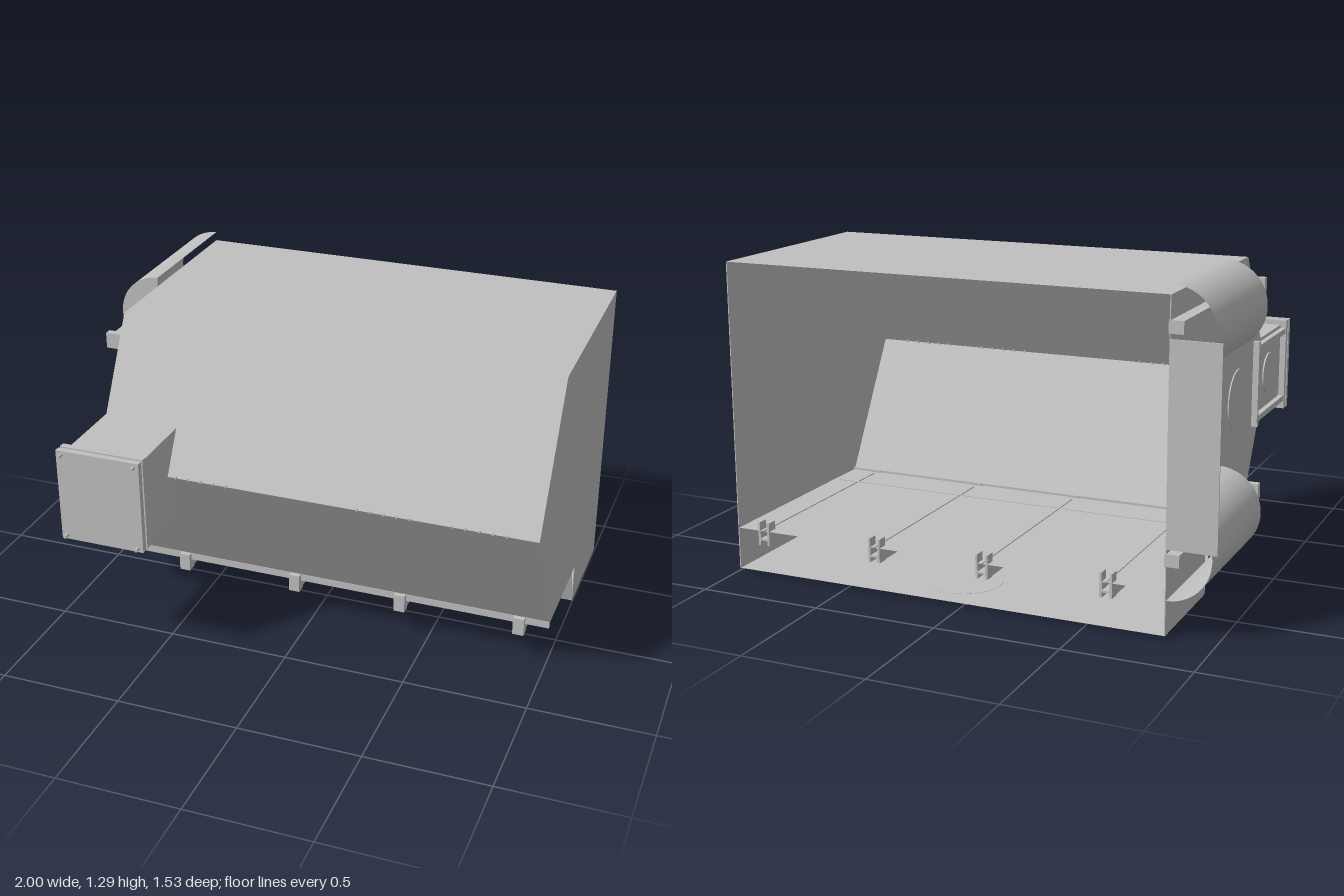
import * as THREE from 'three';

const X0 = -0.81, X1 = 1, MID = (X0 + X1) / 2, W = X1 - X0;
const BACK = -0.76, FLOOR = 0.19;

export function createModel() {
  const model = new THREE.Group();
  const metal = new THREE.MeshStandardMaterial({ color: 0xc0c0c0, side: THREE.DoubleSide });
  metal.name = 'sheetMetalGrey';

  const add = (name, geometry, x = 0, y = 0, z = 0) => {
    const mesh = new THREE.Mesh(geometry, metal);
    mesh.name = name;
    mesh.position.set(x, y, z);
    model.add(mesh);
    return mesh;
  };
  // box given by its limits on each axis
  const box = (name, x0, x1, y0, y1, z0, z1) =>
    add(name, new THREE.BoxGeometry(x1 - x0, y1 - y0, z1 - z0),
      (x0 + x1) / 2, (y0 + y1) / 2, (z0 + z1) / 2);
  // folded sheet lofted between two rows of points
  const loft = (name, rowA, rowB) => {
    const pos = [];
    for (let i = 0; i < rowA.length - 1; i++) {
      const a = rowA[i], b = rowA[i + 1], c = rowB[i + 1], d = rowB[i];
      pos.push(...a, ...b, ...c, ...a, ...c, ...d);
    }
    const g = new THREE.BufferGeometry();
    g.setAttribute('position', new THREE.Float32BufferAttribute(pos, 3));
    g.computeVertexNormals();
    return add(name, g);
  };
  const sheet = (name, profile, x0 = X0, x1 = X1) =>
    loft(name, profile.map(([z, y]) => [x1, y, z]), profile.map(([z, y]) => [x0, y, z]));
  // (z, y) outline extruded along x
  const prism = (name, profile, x0, x1) => {
    const shape = new THREE.Shape(profile.map(([z, y]) => new THREE.Vector2(-z, y)));
    const g = new THREE.ExtrudeGeometry(shape, { depth: x1 - x0, bevelEnabled: false });
    g.rotateY(Math.PI / 2);
    return add(name, g, x0);
  };

  // open-backed housing
  const hood = [[BACK, 1.265], [0.16, 1.265], [0.47, 0.73], [0.16, FLOOR]];
  sheet('hoodPanels', hood);
  const wall = [...hood, [-0.305, FLOOR], [-0.305, 0.02], [BACK, 0.02]];
  prism('leftWall', wall, X1 - 0.004, X1);
  prism('rightWall', wall, X0, X0 + 0.004);
  sheet('floor', [[BACK, FLOOR], [0.16, FLOOR]]);
  sheet('sump', [[-0.255, FLOOR], [-0.305, 0.02], [BACK, 0.02]]);
  box('frontLip', X0, X1, 0.17, 0.2, 0.15, 0.168);

  // hatch on the sloping sump front
  prism('sumpHatch', [[-0.232, 0.17], [-0.265, 0.01], [-0.305, 0.01], [-0.26, 0.17]], -0.07, 0.295);

  // channel beams under the floor, with end brackets
  for (const x of [-0.58, -0.08, 0.38, 0.88]) {
    for (const s of [-1, 1]) {
      box('beamSide', x + s * 0.018 - 0.003, x + s * 0.018 + 0.003, 0.13, FLOOR, BACK, 0.17);
      box('backBracket', x + s * 0.021 - 0.004, x + s * 0.021 + 0.004, 0.13, 0.225, BACK, BACK + 0.045);
    }
    box('beamWeb', x - 0.018, x + 0.018, 0.15, 0.158, BACK, 0.17);
    box('frontBracket', x - 0.023, x + 0.023, 0.125, 0.2, 0.145, 0.188);
    box('floorSeam', x - 0.004, x + 0.004, FLOOR, FLOOR + 0.004, BACK, 0.12);
  }
  box('crossSeam', X0 + 0.03, X1 - 0.03, FLOOR, FLOOR + 0.003, -0.02, -0.014);

  // covers and slots on the underside
  const disc = (name, r, x, y, z) => add(name, new THREE.CylinderGeometry(r, r, 0.004, 28), x, y, z);
  disc('sumpCover', 0.15, 0.1, 0.019, -0.53);
  for (const x of [-0.33, 0.15, 0.63]) disc('floorCover', 0.09, x, FLOOR - 0.003, -0.05);
  for (const x of [-0.5, -0.2, 0.45, 0.78])
    box('sumpSlot', x - 0.035, x + 0.035, 0.017, 0.02, -0.55, -0.52);

  // fasteners along the front fold
  for (const start of [-0.465, 0.29, 0.665])
    for (let i = 0; i < 5; i++) {
      const x = start + i * 0.053;
      box('foldRivet', x - 0.004, x + 0.004, 0.727, 0.737, 0.462, 0.474);
    }

  // inlet duct fitted to the folded front
  prism('inletDuct', [[0.69, 0.55], [0.69, 0.9], [0.372, 0.9], [0.47, 0.73], [0.366, 0.55]], X0, -0.5);
  for (const z of [0.68, 0.716]) box('inletFlange', -0.835, -0.485, 0.535, 0.92, z, z + 0.025);
  box('inletGasket', -0.82, -0.5, 0.55, 0.905, 0.7, 0.72);
  for (const x of [-0.812, -0.505])
    for (const y of [0.553, 0.903]) {
      const bolt = add('inletBolt', new THREE.CylinderGeometry(0.007, 0.007, 0.025, 10), x, y, 0.752);
      bolt.rotation.x = Math.PI / 2;
    }

  // access frame on the duct side
  for (const y of [0.58, 0.875]) box('accessRail', -0.832, X0, y - 0.012, y + 0.012, 0.27, 0.68);
  box('accessPost', -0.835, X0, 0.55, 0.905, 0.272, 0.292);
  const oval = add('accessCover', new THREE.CylinderGeometry(0.085, 0.085, 0.006, 28), X0 - 0.003, 0.73, 0.5);
  oval.rotation.z = Math.PI / 2;
  const port = add('wallPortCover', new THREE.CylinderGeometry(0.125, 0.125, 0.006, 32), X0 - 0.002, 0.71, 0.06);
  port.rotation.z = Math.PI / 2;

  // half-round guides and their rails, upper and lower
  for (const y of [1.132, 0.325]) {
    const guide = new THREE.CylinderGeometry(0.17, 0.17, 0.61, 28, 1, true, Math.PI, Math.PI);
    guide.rotateX(Math.PI / 2);
    add('halfRoundGuide', guide, X0, y, -0.455);
    add('guideCap', new THREE.CircleGeometry(0.17, 28, Math.PI / 2, Math.PI), X0, y, -0.15);
    const railY = y > 0.7 ? 1.152 : 0.307;
    box('guideRail', -0.858, X0 + 0.008, railY - 0.024, railY + 0.024, BACK, 0.18);
    box('railStop', -0.877, X0, railY - 0.032, railY + 0.032, 0.17, 0.2);
  }

  // back plate between the guides, with a curved deflector behind it
  box('guidePlate', -1, X0, 0.35, 1.11, BACK - 0.006, BACK);
  const upper = [], lower = [];
  for (let i = 0; i <= 6; i++) {
    const t = i / 6, x = -1 + 0.19 * t;
    const z = BACK + 0.62 * (1 - Math.cos(t * Math.PI / 2));
    const h = 0.36 - 0.2 * t * t;
    upper.push([x, 0.73 + h, z]);
    lower.push([x, 0.73 - h, z]);
  }
  loft('deflector', upper, lower);

  return model;
}
